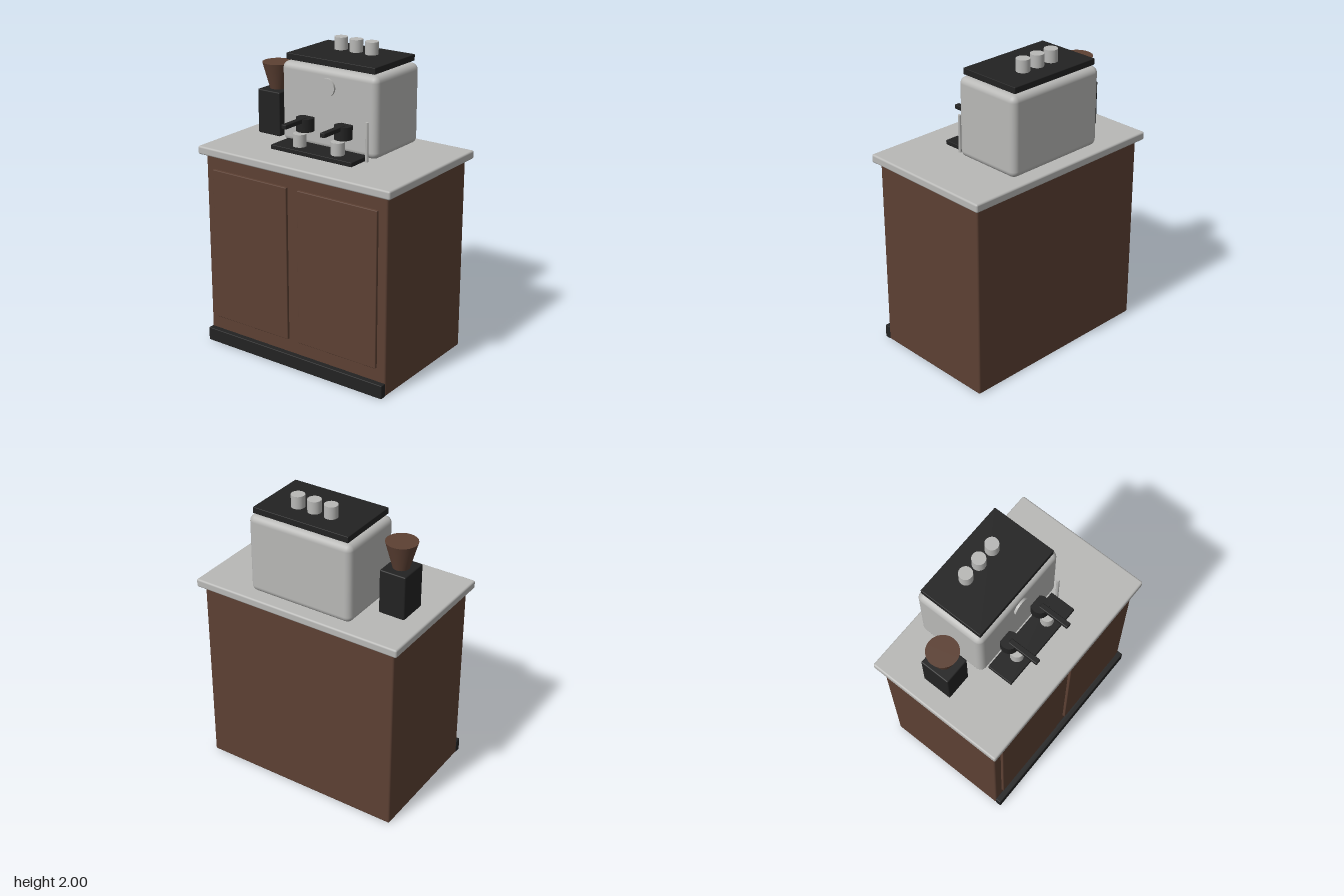
import * as THREE from 'three';
import { RoundedBoxGeometry } from 'three/addons/geometries/RoundedBoxGeometry.js';

const mat = (name, color) => {
  const m = new THREE.MeshStandardMaterial({ color });
  m.name = name;
  return m;
};

export function createModel() {
  const model = new THREE.Group();
  model.name = 'coffeeStation';
  const wood = mat('brown wood', 0x5c4033);
  const steel = mat('light grey', 0xb8b8b6);
  const black = mat('black', 0x222222);

  const add = (name, geometry, material, x, y, z) => {
    const mesh = new THREE.Mesh(geometry, material);
    mesh.name = name;
    mesh.position.set(x, y, z);
    model.add(mesh);
    return mesh;
  };
  // Rounded box given by its limits on each axis
  const box = (name, material, [x0, x1], [y0, y1], [z0, z1], r) =>
    add(name, new RoundedBoxGeometry(x1 - x0, y1 - y0, z1 - z0, 3, r), material,
      (x0 + x1) / 2, (y0 + y1) / 2, (z0 + z1) / 2);
  // Upright cylinder standing on y0
  const post = (name, material, x, z, y0, y1, rTop, rBottom = rTop, sides = 24) =>
    add(name, new THREE.CylinderGeometry(rTop, rBottom, y1 - y0, sides), material, x, (y0 + y1) / 2, z);

  // Cabinet
  box('cabinet', wood, [-0.69, 0.69], [0, 1.29], [-0.435, 0.435], 0.012);
  box('toeKick', black, [-0.69, 0.69], [0, 0.09], [0.432, 0.474], 0.005);
  box('countertop', steel, [-0.728, 0.728], [1.29, 1.345], [-0.474, 0.474], 0.012);
  for (const s of [-1, 1]) {
    const edges = [s * 0.042, s * 0.628].sort((a, b) => a - b);
    box('door', wood, edges, [0.18, 1.2], [0.43, 0.453], 0.005);
  }

  // Espresso machine
  box('machineBody', steel, [-0.363, 0.363], [1.348, 1.868], [-0.4, 0.078], 0.042);
  box('cupShelf', black, [-0.335, 0.335], [1.879, 1.92], [-0.38, 0.058], 0.004);
  const gauge = post('gauge', steel, 0, 0.083, 1.745, 1.765, 0.058, 0.058, 32);
  gauge.rotation.x = Math.PI / 2;
  box('dripTray', black, [-0.308, 0.308], [1.348, 1.377], [0.083, 0.259], 0.004);
  post('steamWand', steel, 0.32, 0.115, 1.346, 1.595, 0.01, 0.01, 12);

  // Spare cups on the shelf
  for (const x of [-0.117, 0, 0.117]) post('shelfCup', steel, x, -0.224, 1.92, 2, 0.043);

  // Brew heads with handles and filled cups
  for (const x of [-0.146, 0.146]) {
    post('brewHead', black, x, 0.117, 1.463, 1.547, 0.058);
    box('brewHandle', black, [x - 0.018, x + 0.018], [1.522, 1.551], [0.12, 0.334], 0.005);
    post('brewCup', steel, x, 0.174, 1.377, 1.458, 0.043);
  }

  // Grinder
  box('grinderBase', black, [-0.6, -0.423], [1.346, 1.638], [-0.177, 0.024], 0.008);
  post('grinderHopper', wood, -0.511, -0.076, 1.638, 1.81, 0.1, 0.052);

  return model;
}
